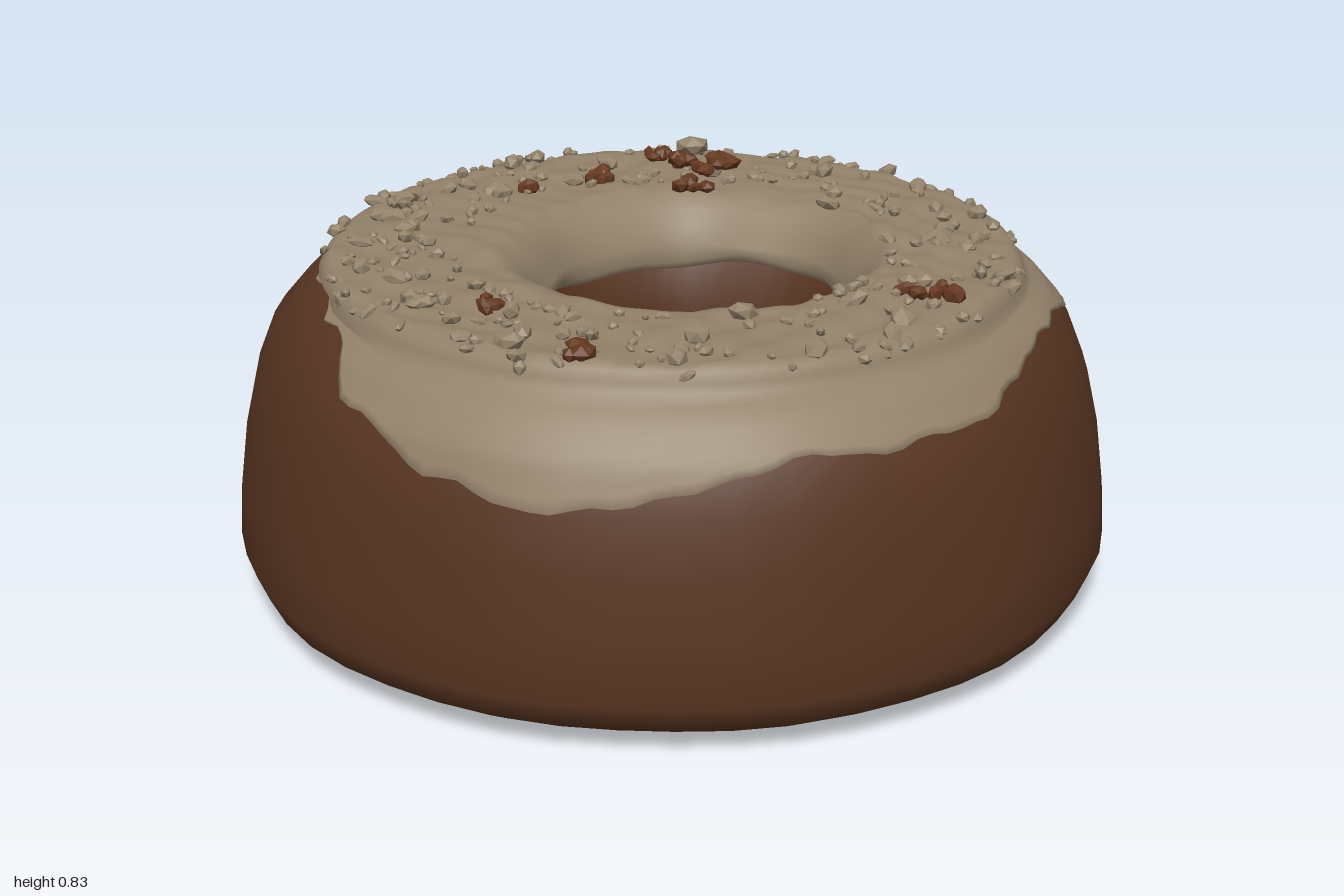
import * as THREE from 'three';
import { mergeGeometries } from 'three/addons/utils/BufferGeometryUtils.js';

const mat = (name, color, side = THREE.FrontSide) => {
  const m = new THREE.MeshStandardMaterial({ color, side });
  m.name = name;
  return m;
};

// small seeded random
let seed = 7;
const rnd = () => (seed = (seed * 16807) % 2147483647) / 2147483647;

// dough cross-section as [radius, height]: base, outer wall, crown, hole
const OUTER = [[0.75, 0.006], [0.9, 0.028], [0.97, 0.07], [0.996, 0.13], [0.988, 0.25], [0.968, 0.4],
  [0.94, 0.52], [0.9, 0.62], [0.84, 0.69], [0.78, 0.73]];
const INNER = [[0.6, 0.74], [0.45, 0.72], [0.37, 0.64], [0.325, 0.52], [0.285, 0.3], [0.285, 0.02]];

// lower edge of the icing every 15 degrees, from the front towards +x
const EDGE = [0.62, 0.61, 0.62, 0.665, 0.68, 0.64, 0.53, 0.56, 0.62, 0.62, 0.57, 0.56,
  0.54, 0.58, 0.64, 0.67, 0.71, 0.73, 0.73, 0.71, 0.62, 0.55, 0.52, 0.56];

function outerRadius(y) {
  for (let i = 1; i < OUTER.length; i++) {
    const [r0, y0] = OUTER[i - 1], [r1, y1] = OUTER[i];
    if (y <= y1) return r0 + (r1 - r0) * (y - y0) / (y1 - y0);
  }
  return 0.78;
}

function edgeHeight(a) {
  const f = a / (Math.PI * 2) * EDGE.length, i = Math.floor(f), t = f - i;
  const n = EDGE.length, s = t * t * (3 - 2 * t);
  const y = EDGE[i % n] * (1 - s) + EDGE[(i + 1) % n] * s;
  return y + 0.006 * Math.sin(23 * a) + 0.004 * Math.sin(41 * a + 1);
}

// slightly uneven ring; the upper mouth of the hole leans towards +x and +z
const wobble = (a, r) => r > 0.55
  ? r * (1 + 0.004 * Math.sin(5 * a) + 0.003 * Math.sin(11 * a + 2))
  : r + 0.006 * Math.sin(7 * a) + 0.003 * Math.sin(4 * a + 1);
const lean = (r, y) => THREE.MathUtils.clamp((0.6 - r) / 0.2, 0, 1) * THREE.MathUtils.smoothstep(y, 0.2, 0.65);

// ring-shaped surface from a cross-section that may change with the angle
function ring(segments, section) {
  const pos = [], index = [];
  let rows = 0;
  for (let i = 0; i < segments; i++) {
    const a = i / segments * Math.PI * 2, pts = section(a);
    rows = pts.length;
    for (const [r, y] of pts) {
      const w = wobble(a, r), s = lean(r, y), h = r < 0.6 ? 0.012 : 0;
      pos.push(w * Math.sin(a) + h + 0.04 * s, y, w * Math.cos(a) - h + 0.035 * s);
    }
  }
  for (let i = 0; i < segments; i++) {
    const n = (i + 1) % segments;
    for (let j = 0; j < rows - 1; j++) {
      const p = i * rows + j, q = n * rows + j;
      index.push(p, q, q + 1, p, q + 1, p + 1);
    }
  }
  const g = new THREE.BufferGeometry();
  g.setAttribute('position', new THREE.Float32BufferAttribute(pos, 3));
  g.setIndex(index);
  g.computeVertexNormals();
  return g;
}

// lumpy crust height
const lump = (a, r) => {
  const x = r * Math.sin(a), z = r * Math.cos(a);
  return 0.005 * Math.sin(17 * x + 3 * z) * Math.sin(19 * z + 1)
    + 0.006 * Math.sin(41 * x + 2 + 2 * Math.sin(9 * z)) * Math.sin(37 * z - 9 * x);
};

function icingSection(a) {
  const pts = [], low = edgeHeight(a), high = Math.max(0.725, low + 0.005);
  // thin lip, then the skirt hugging the outer wall
  pts.push([outerRadius(low) - 0.004, low - 0.002]);
  for (let k = 0; k <= 8; k++) {
    const y = low + (high - low) * k / 8;
    pts.push([outerRadius(y) + 0.006, y]);
  }
  // steep rim and lumpy top
  pts.push([0.79, 0.745], [0.778, 0.766]);
  for (let k = 0; k <= 18; k++) {
    const r = 0.762 - k * 0.018;
    pts.push([r, 0.776 + lump(a, r)]);
  }
  // roll down into the hole
  const drip = 0.012 * Math.sin(3 * a + 1) + 0.006 * Math.sin(8 * a);
  pts.push([0.415, 0.764], [0.385, 0.738], [0.36, 0.70], [0.345, 0.665],
    [0.335, 0.635 + drip], [0.352, 0.615 + drip]);
  return pts;
}

// irregular flattened chip
function chip(x, y, z, size) {
  const g = new THREE.IcosahedronGeometry(size, 0);
  g.scale(0.7 + rnd() * 0.8, 0.5 + rnd() * 0.4, 0.6 + rnd() * 0.5);
  g.rotateZ((rnd() - 0.5) * 1.2);
  g.rotateY(rnd() * Math.PI * 2);
  g.translate(x, y, z);
  return g;
}

export function createModel() {
  const group = new THREE.Group();
  const dough = mat('brown dough', 0x573420);
  const icing = mat('cream icing', 0x928169, THREE.DoubleSide);
  const nut = mat('reddish brown chips', 0x643820);
  const add = (name, geometry, material) => {
    const m = new THREE.Mesh(geometry, material);
    m.name = name;
    group.add(m);
  };

  const section = [INNER[INNER.length - 1], [0.31, 0.006], ...OUTER, ...INNER];
  add('dough', ring(48, () => section), dough);
  add('icing', ring(144, icingSection), icing);

  // cream chips half sunk into the top
  const pale = [];
  for (let i = 0; i < 260; i++) {
    const a = rnd() * Math.PI * 2, r = 0.48 + 0.295 * rnd();
    const size = 0.012 + 0.022 * rnd() * rnd();
    pale.push(chip(r * Math.sin(a), 0.777 + size * 0.25, r * Math.cos(a), size));
  }
  // crumbs along the rim
  for (let i = 0; i < 60; i++) {
    const a = rnd() * Math.PI * 2, r = 0.77 + 0.012 * rnd();
    pale.push(chip(r * Math.sin(a), 0.755 + 0.025 * rnd(), r * Math.cos(a), 0.012 + 0.012 * rnd()));
  }
  pale.push(chip(0.23, 0.81, -0.65, 0.05), chip(0.5, 0.79, -0.42, 0.034), chip(0.43, 0.785, -0.18, 0.034));
  add('creamChips', mergeGeometries(pale), icing);

  // brown chips in clusters: x, z, spread, count
  const brown = [];
  for (const [x, z, spread, count] of [[0.23, -0.53, 0.06, 16], [0.15, -0.67, 0.03, 5], [-0.04, -0.52, 0.025, 6],
    [0.16, -0.39, 0.035, 6], [0.43, 0.49, 0.055, 9], [-0.38, 0.63, 0.025, 4], [-0.49, 0.32, 0.035, 3], [-0.23, -0.5, 0.02, 2]]) {
    for (let i = 0; i < count; i++) {
      const size = 0.018 + 0.014 * rnd();
      brown.push(chip(x + (rnd() * 2 - 1) * spread, 0.784 + 0.025 * rnd() * spread / 0.06,
        z + (rnd() * 2 - 1) * spread, size));
    }
  }
  add('brownChips', mergeGeometries(brown), nut);
  return group;
}
